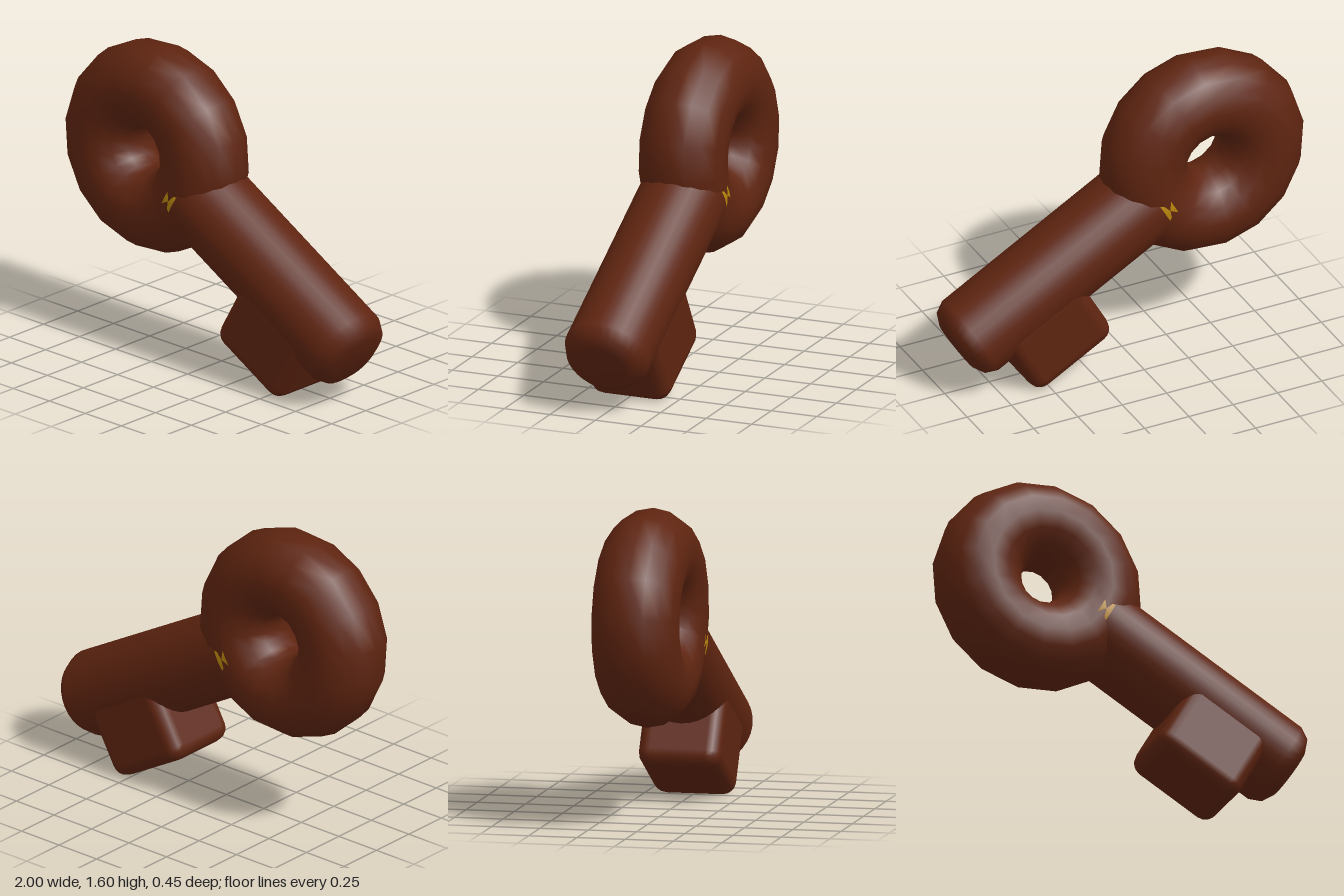
import * as THREE from 'three';
import { RoundedBoxGeometry } from 'three/addons/geometries/RoundedBoxGeometry.js';

export function createModel() {
  const brown = new THREE.MeshStandardMaterial({ color: 0x5e2410 });
  const gold = new THREE.MeshStandardMaterial({ color: 0xb8860b, side: THREE.DoubleSide });
  const R = 0.225; // shared radius of ring tube and shaft

  // The key lies along local +x from the ring centre, then is tilted down
  const key = new THREE.Group();
  key.name = 'key';
  key.position.set(-0.448, 1.042, 0);
  key.rotation.z = THREE.MathUtils.degToRad(-29.6);

  const add = (name, geometry, material) => {
    const mesh = new THREE.Mesh(geometry, material);
    mesh.name = name;
    key.add(mesh);
    return mesh;
  };
  // Turned part along +x from [distance, radius] pairs
  const turned = (profile) =>
    new THREE.LatheGeometry(profile.map(([s, r]) => new THREE.Vector2(r, s)), 32).rotateZ(-Math.PI / 2);

  // Ring handle
  add('ringHandle', new THREE.TorusGeometry(0.33, R, 16, 16), brown);

  // Shaft with a rounded tip
  add('shaft', turned([[0.36, R], [1.5, R], [1.56, 0.195], [1.59, 0.135], [1.59, 0]]), brown);

  // Thin collar at the shaft root, mostly buried in the ring
  add('shaftCollar', turned([[0.3, R], [0.36, R]]), gold);

  // Rounded block forming the key's tooth, its top sunk into the shaft
  const tooth = add('tooth', new RoundedBoxGeometry(0.505, 0.43, 0.43, 2, 0.072), brown);
  tooth.position.set(1.158, -0.217, 0);

  const model = new THREE.Group();
  model.name = 'model';
  model.add(key);
  return model;
}
